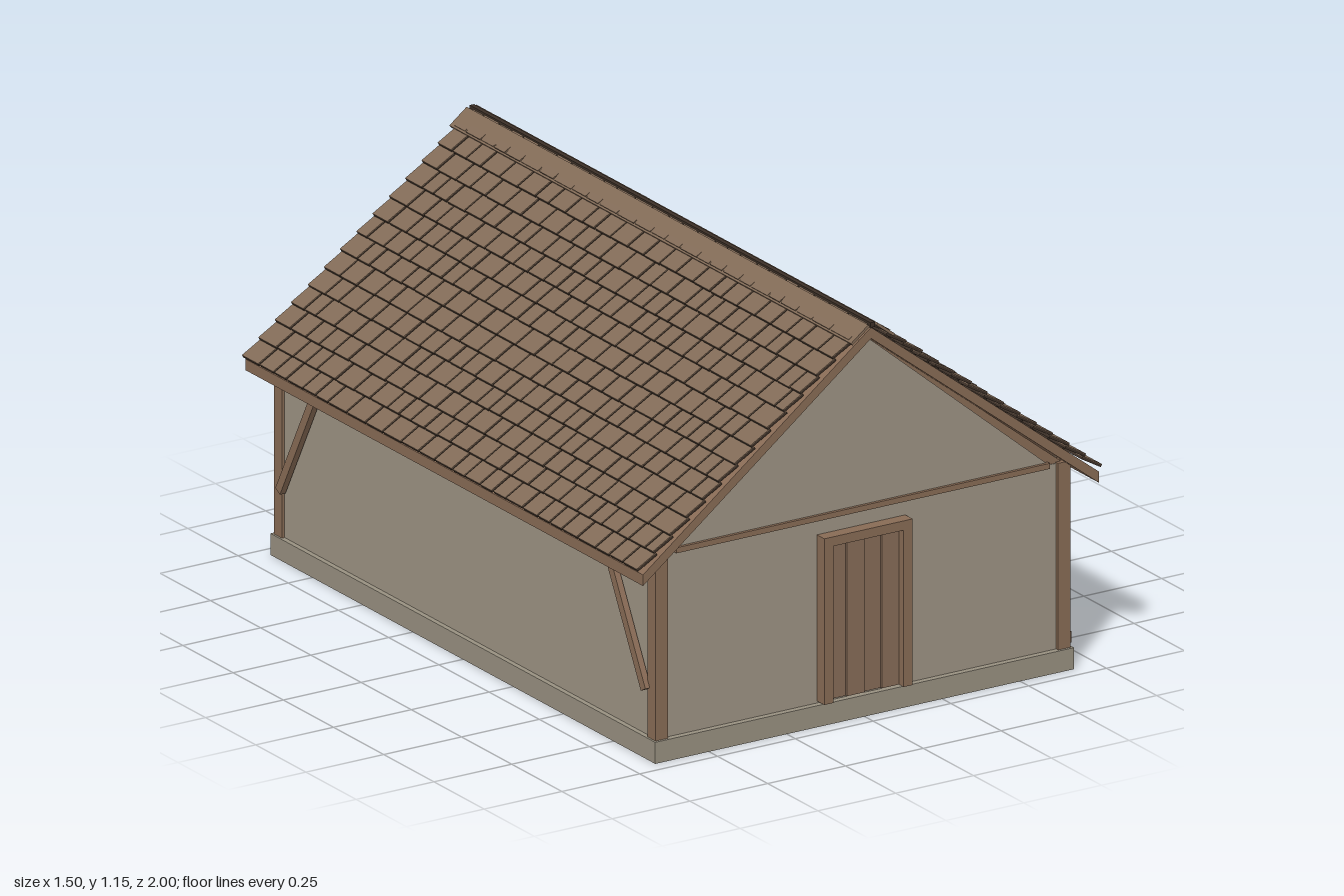
import * as THREE from 'three';
import { mergeGeometries } from 'three/addons/utils/BufferGeometryUtils.js';

const mat = (name, color) => {
  const m = new THREE.MeshStandardMaterial({ color });
  m.name = name;
  return m;
};

export function createModel() {
  const house = new THREE.Group();
  house.name = 'house';
  const plaster = mat('plaster', 0x9d9383);
  const stone = mat('stone', 0x989080);
  const timber = mat('timber', 0x886b55);
  const doorWood = mat('door wood', 0x866b57);
  const tileTop = mat('roof tile', 0x826b57);
  const tileEdge = mat('tile edge', 0x3c3027);

  const add = (name, geo, material, parent = house) => {
    const m = new THREE.Mesh(geo, material);
    m.name = name;
    parent.add(m);
    return m;
  };
  // box given by its min and max corners
  const box = (name, material, x0, x1, y0, y1, z0, z1) => {
    const m = add(name, new THREE.BoxGeometry(x1 - x0, y1 - y0, z1 - z0), material);
    m.position.set((x0 + x1) / 2, (y0 + y1) / 2, (z0 + z1) / 2);
    return m;
  };
  // slanted beam on a side wall, between two (z, y) points
  const brace = (x, za, ya, zb, yb) => {
    const len = Math.hypot(zb - za, yb - ya);
    const m = add('brace', new THREE.BoxGeometry(0.018, len, 0.026), timber);
    m.position.set(x, (ya + yb) / 2, (za + zb) / 2);
    m.rotation.x = Math.atan2(zb - za, yb - ya);
  };
  // extruded triangle centred on z
  const gable = (name, material, halfWidth, base, apex, halfDepth) => {
    const s = new THREE.Shape([
      new THREE.Vector2(-halfWidth, base), new THREE.Vector2(halfWidth, base), new THREE.Vector2(0, apex)]);
    const g = new THREE.ExtrudeGeometry(s, { depth: halfDepth * 2, bevelEnabled: false });
    add(name, g.translate(0, 0, -halfDepth), material);
  };

  // base and walls
  box('foundation', stone, -0.673, 0.673, 0, 0.062, -0.958, 0.958);
  box('walls', plaster, -0.658, 0.658, 0.06, 0.597, -0.94, 0.94);
  gable('gableFrame', timber, 0.65, 0.595, 1.105, 0.938);
  gable('gableWall', plaster, 0.6, 0.6, 1.1, 0.942);

  // corner posts and gable tie beams
  for (const z of [-1, 1]) {
    for (const x of [-1, 1]) {
      const p = add('cornerPost', new THREE.BoxGeometry(0.04, 0.54, 0.04), timber);
      p.position.set(x * 0.647, 0.33, z * 0.93);
    }
    const t = add('tieBeam', new THREE.BoxGeometry(1.2, 0.016, 0.022), timber);
    t.position.set(0, 0.598, z * 0.94);
  }

  // timber framing of the left wall
  box('sillBeam', timber, 0.65, 0.68, 0.068, 0.1, -0.935, 0.935);
  box('middleRail', timber, 0.65, 0.674, 0.29, 0.317, -0.935, 0.935);
  for (const s of [-1, 1]) {
    const p = add('wallPost', new THREE.BoxGeometry(0.024, 0.5, 0.028), timber);
    p.position.set(0.663, 0.32, s * 0.315);
    brace(0.668, s * 0.315, 0.355, s * 0.52, 0.565);
    // corner braces of the right wall
    brace(-0.672, s * 0.91, 0.2, s * 0.71, 0.57);
  }

  // door with staggered planks and a frame
  for (let i = 0; i < 4; i++) {
    const x = -0.112 + i * 0.056;
    box('doorPlank', doorWood, x, x + 0.055, 0.07, 0.52, 0.935, 0.952 + (i % 2) * 0.006);
  }
  box('doorJamb', timber, -0.142, -0.113, 0.068, 0.52, 0.935, 0.977);
  box('doorJamb', timber, 0.113, 0.142, 0.068, 0.52, 0.935, 0.977);
  box('doorLintel', timber, -0.142, 0.142, 0.52, 0.547, 0.935, 0.977);

  // roof deck
  const deck = new THREE.Shape([[-0.733, 0.535], [-0.733, 0.567], [0, 1.132], [0.733, 0.567], [0.733, 0.535], [0, 1.1]]
    .map(([x, y]) => new THREE.Vector2(x, y)));
  add('roofDeck', new THREE.ExtrudeGeometry(deck, { depth: 1.98, bevelEnabled: false }).translate(0, 0, -0.99), timber);

  // roof tiles: rows of tilted shingles with dark edges
  let seed = 7;
  const rnd = () => (seed = (seed * 16807) % 2147483647) / 2147483647;
  const ROWS = 14, slope = Math.atan2(0.565, 0.733);
  const pitch = 0.733 / Math.cos(slope) / ROWS;
  for (const side of [1, -1]) {
    const tops = [], edges = [];
    for (let r = 0; r < ROWS; r++) {
      const d = (r + 0.5) * pitch;
      let z = -0.985;
      while (z < 0.98) {
        let w = 0.055 + rnd() * 0.04;
        if (0.985 - z - w < 0.04) w = 0.985 - z;
        const lift = 0.0125 + rnd() * 0.002;
        const len = pitch + 0.004 + rnd() * 0.003;
        const put = (h, y) => new THREE.BoxGeometry(len, h, w - 0.007)
          .translate(0, y, 0)
          .rotateZ(side * 0.14)
          .translate(side * d, lift, z + w / 2)
          .rotateZ(-side * slope)
          .translate(0, 1.132, 0);
        edges.push(put(0.007, -0.001));
        tops.push(put(0.002, 0.0035));
        z += w;
      }
    }
    add('roofTiles', mergeGeometries(tops), tileTop);
    add('roofTileEdges', mergeGeometries(edges), tileEdge);

    // ridge boards
    const ridge = new THREE.BoxGeometry(0.07, 0.008, 2)
      .translate(side * 0.036, 0.02, 0).rotateZ(-side * slope).translate(0, 1.127, 0);
    add('ridgeBoard', ridge, tileTop);
  }
  box('ridgeSeam', tileEdge, -0.007, 0.007, 1.135, 1.149, -0.998, 0.998);
  return house;
}
